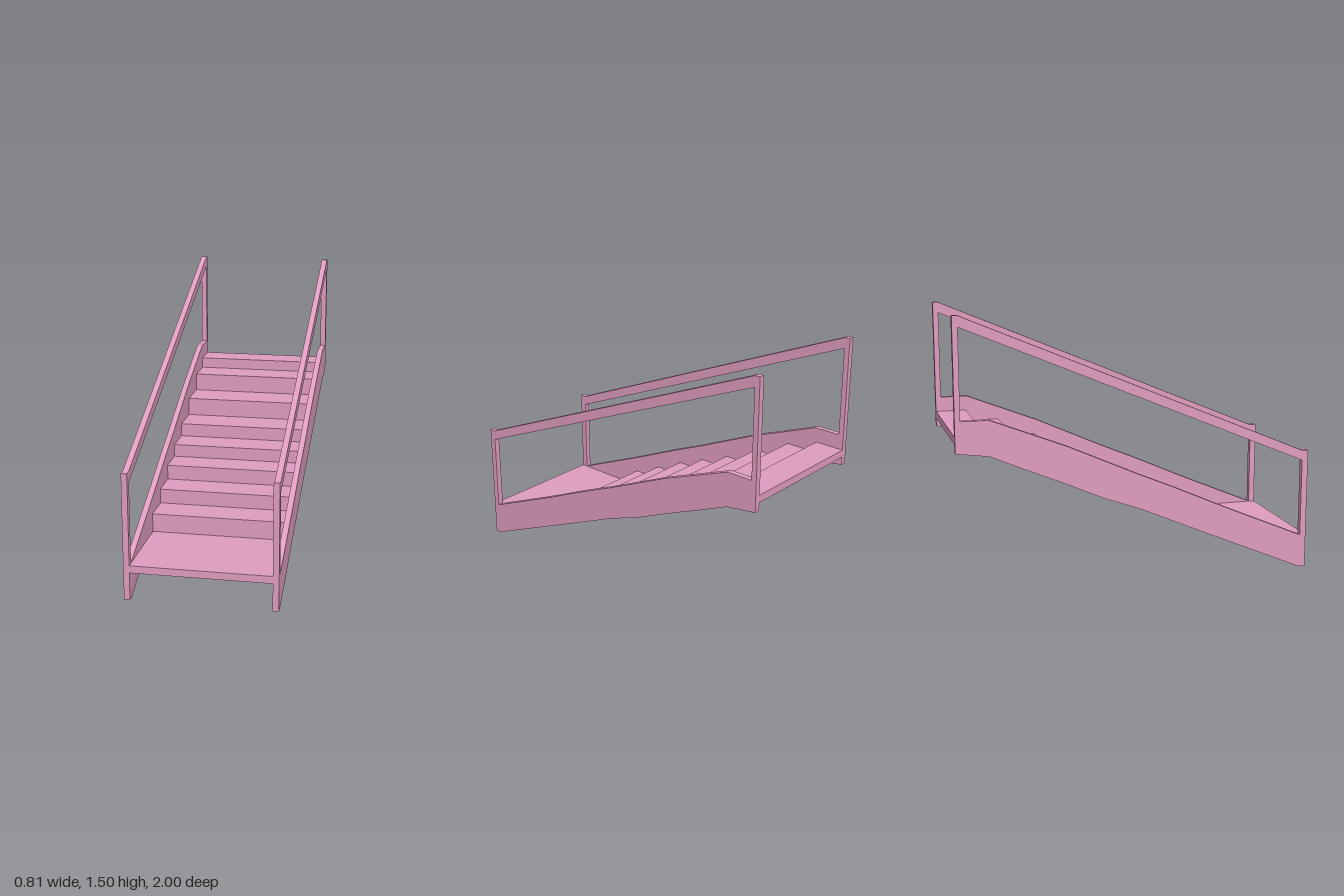
import * as THREE from 'three';

const pink = new THREE.MeshStandardMaterial({ color: 0xe09dc0 });
pink.name = 'pink';

const toPoints = (list) => list.map(([z, y]) => new THREE.Vector2(z, y));

// Extrudes a side profile of [z, y] points across x, from x0 to x1;
// the hole must run the opposite way round to the profile
function extrudeAcross(name, profile, x0, x1, hole) {
  const shape = new THREE.Shape(toPoints(profile));
  if (hole) shape.holes.push(new THREE.Path(toPoints(hole)));
  const geometry = new THREE.ExtrudeGeometry(shape, { depth: x1 - x0, bevelEnabled: false });
  geometry.rotateY(-Math.PI / 2).translate(x1, 0, 0);
  const mesh = new THREE.Mesh(geometry, pink);
  mesh.name = name;
  return mesh;
}

export function createModel() {
  const model = new THREE.Group();
  model.name = 'staircase';

  // Side panels: stringer, end posts and handrail around one opening
  const outline = [
    [1, 0], [0.965, 0], [0.6, 0.157], [0.35, 0.265], [0, 0.418], [-0.2, 0.49],
    [-0.4, 0.58], [-0.63, 0.677], [-0.82, 0.76], [-1, 0.785],
    [-1, 1.505], [-0.97, 1.505], [0.965, 0.687], [1, 0.687],
  ];
  const opening = [
    [0.965, 0.63], [-0.97, 1.445], [-0.97, 0.955], [-0.82, 0.955], [-0.4, 0.79],
    [0, 0.61], [0.2, 0.525], [0.5, 0.39], [0.965, 0.19],
  ];
  model.add(extrudeAcross('leftSidePanel', outline, 0.373, 0.405, opening));
  model.add(extrudeAcross('rightSidePanel', outline, -0.405, -0.373, opening));

  // Bottom landing, with its underside sloping up below the first step
  model.add(extrudeAcross('bottomLanding', [
    [1, 0.15], [1, 0.19], [0.51, 0.19], [0.625, 0.15],
  ], -0.373, 0.373));

  // Steps: front z, tread height, underside height at the back
  const steps = [
    [0.51, 0.293, 0.276], [0.33, 0.375, 0.355], [0.15, 0.458, 0.43], [-0.025, 0.53, 0.497],
    [-0.21, 0.605, 0.59], [-0.42, 0.708, 0.685], [-0.64, 0.81, 0.767], [-0.83, 0.872, 0.83],
  ];
  steps.forEach(([front, top, under], i) => {
    const back = i < steps.length - 1 ? steps[i + 1][0] : -1;
    const bottom = i === 0 ? 0.19 : steps[i - 1][1];
    // Short riser back, then the underside slopes to the back of the tread
    const riserBack = Math.min(bottom + 0.02, under);
    model.add(extrudeAcross(`step${i + 1}`, [
      [front, bottom], [front, top], [back, top], [back, under], [front - 0.015, riserBack],
    ], -0.373, 0.373));
  });

  return model;
}
